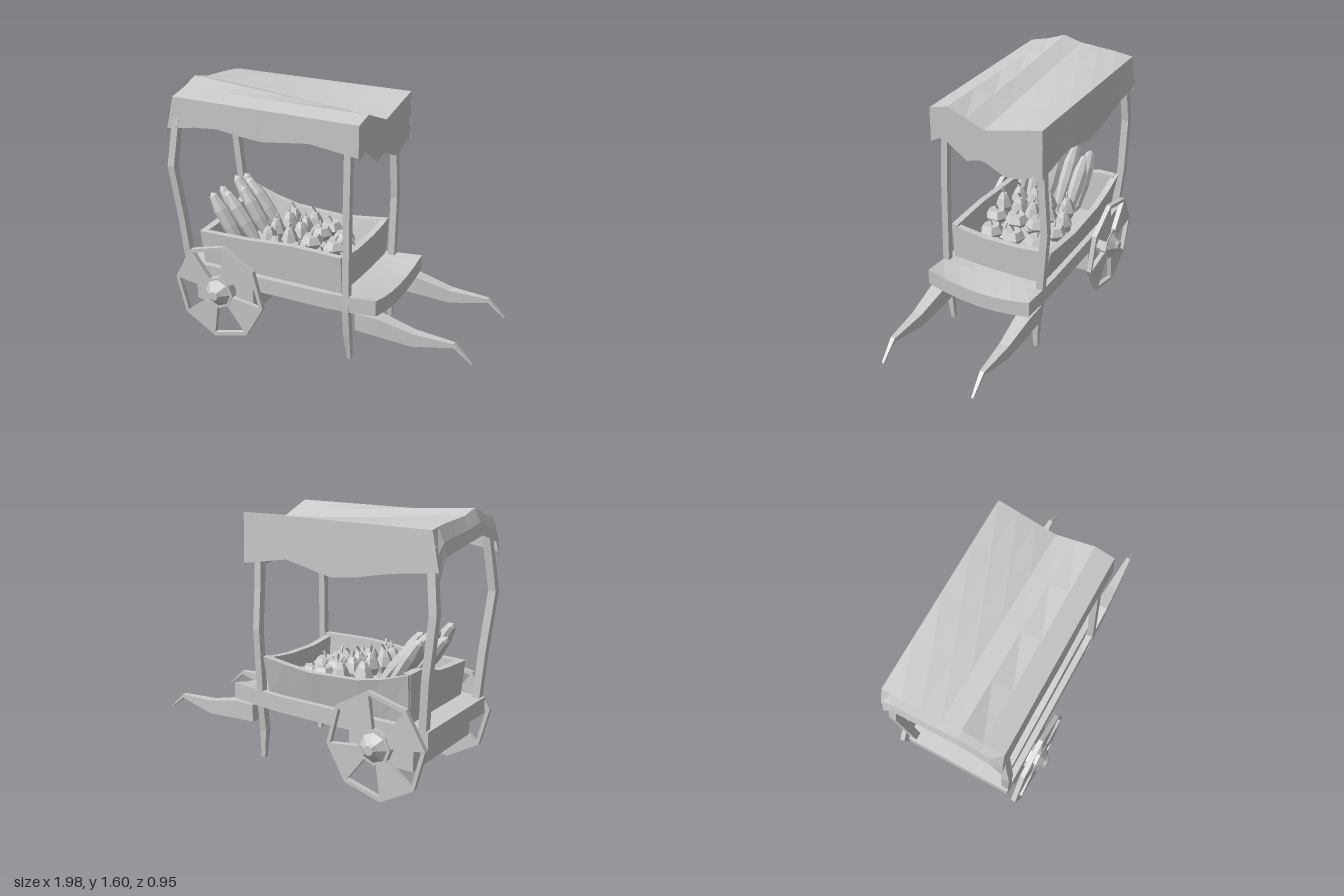
import * as THREE from 'three';

const mat = new THREE.MeshStandardMaterial({ color: 0xcccccc, flatShading: true });
const thin = new THREE.MeshStandardMaterial({ color: 0xcccccc, flatShading: true, side: THREE.DoubleSide });

const mix = (a, b, t) => a + (b - a) * t;

// Piecewise linear lookup in a short table of [position, value] pairs
function at(table, t) {
  let i = 0;
  while (i < table.length - 2 && t > table[i + 1][0]) i++;
  const [a, va] = table[i], [b, vb] = table[i + 1];
  return mix(va, vb, Math.min(1, Math.max(0, (t - a) / (b - a))));
}

// Move every vertex of a geometry by a rule
function warp(geo, rule) {
  const p = geo.attributes.position;
  for (let i = 0; i < p.count; i++) p.setXYZ(i, ...rule(p.getX(i), p.getY(i), p.getZ(i)));
  geo.computeVertexNormals();
  return geo;
}
// Unit block (0..1 on each axis) and unit sheet, bent by a rule
const block = (sx, sy, sz, rule) =>
  warp(new THREE.BoxGeometry(1, 1, 1, sx, sy, sz), (x, y, z) => rule(x + 0.5, y + 0.5, z + 0.5));
const sheet = (sx, sy, rule) =>
  warp(new THREE.PlaneGeometry(1, 1, sx, sy), (x, y) => rule(x + 0.5, y + 0.5));

function add(parent, name, geo, material = mat) {
  const m = new THREE.Mesh(geo, material);
  m.name = name;
  parent.add(m);
  return m;
}

// Crooked post through a few [x, y, z] points
function post(pts, w) {
  const n = pts.length - 1;
  return block(1, n, 1, (u, v, s) => {
    const i = Math.round(v * n), [x, y, z] = pts[i];
    const k = y < 0.1 ? 0.6 : 1;
    return [x + (u - 0.5) * w * k, y, z + (s - 0.5) * w * k];
  });
}

// Octagonal wheel with alternating solid and open sectors
function wheelGeometry() {
  const pt = (r, k) => {
    const a = (-8 + 45 * k) * Math.PI / 180;
    return new THREE.Vector2(r * Math.cos(a), r * Math.sin(a));
  };
  const shape = new THREE.Shape([...Array(8).keys()].map(k => pt(0.322, k)));
  for (let k = 0; k < 8; k += 2) {
    shape.holes.push(new THREE.Path([pt(0.1, k), pt(0.1, k + 1), pt(0.297, k + 1), pt(0.297, k)]));
  }
  return new THREE.ExtrudeGeometry(shape, { depth: 0.03, bevelEnabled: false });
}

// Ribbed fruit: an upright lathe with every other side pushed in
function fruit(profile, sides, rib) {
  const geo = new THREE.LatheGeometry(profile.map(p => new THREE.Vector2(...p)), sides);
  return warp(geo, (x, y, z) => {
    const k = Math.round(Math.atan2(x, z) / (2 * Math.PI) * sides);
    const f = k % 2 ? rib : 1;
    return [x * f, y, z * f];
  });
}

export function createModel() {
  const cart = new THREE.Group();
  cart.name = 'marketCart';

  // Bed, dished and lifted at the handle end
  add(cart, 'bed', block(8, 1, 6, (u, v, s) => {
    const x = mix(-0.93, 0.42, u), z = mix(-0.35, 0.35, s);
    const t = Math.max(0, (x - 0.15) / 0.27);
    return [x, mix(0.355, 0.455, v) + t * (-0.025 + 0.05 * (z / 0.35) ** 2), z];
  }));
  add(cart, 'axleBox', block(1, 1, 1, (u, v, s) =>
    [mix(-0.84, -0.42, u), mix(0.2, 0.36, v), mix(-0.345, 0.345, s)]));

  // Bin walls with uneven rims, leaning slightly outward
  const bin = new THREE.Group();
  bin.name = 'bin';
  cart.add(bin);
  const frontRim = [[-0.8, 0.67], [-0.5, 0.675], [-0.13, 0.7], [0.18, 0.69]];
  const backRim = [[-0.8, 0.755], [-0.55, 0.67], [-0.13, 0.65], [0.18, 0.69]];
  const rightRim = [[-0.37, 0.69], [-0.15, 0.66], [0.1, 0.655], [0.32, 0.68]];
  const leftRim = [[-0.35, 0.755], [-0.2, 0.755], [0, 0.69], [0.32, 0.67]];
  for (const [name, sign, rim, flare] of [['binFront', 1, frontRim, 0.325], ['binBack', -1, backRim, 0.365]]) {
    add(bin, name, block(6, 1, 1, (u, v, s) => {
      const x = mix(-0.79 - 0.015 * v, 0.18, u), outer = mix(0.31, flare, v);
      const inset = sign > 0 ? 1 - s : s;
      return [x, mix(0.44, at(rim, x), v), sign * (outer - 0.04 * inset)];
    }));
  }
  for (const [name, x0, x1, rim] of [['binRight', 0.14, 0.18, rightRim], ['binLeft', -0.79, -0.745, leftRim]]) {
    add(bin, name, block(1, 1, 6, (u, v, s) => {
      const z = mix(mix(-0.3, -0.345, v), mix(0.3, 0.315, v), s);
      return [mix(x0, x1, u) - (x0 < 0 ? 0.02 * v : 0), mix(0.44, at(rim, z), v), z];
    }));
  }

  // Handles: tapered arms with a drooping grip
  const armX = [0.28, 0.42, 0.64, 0.89, 1];
  const armTop = [0.36, 0.36, 0.31, 0.3, 0.195];
  const armBottom = [0.25, 0.245, 0.225, 0.275, 0.187];
  for (const [name, zBase, zTip] of [['leftHandle', 0.295, 0.295], ['rightHandle', -0.308, -0.31]]) {
    add(cart, name, block(4, 1, 1, (u, v, s) => {
      const i = Math.round(u * 4), t = Math.max(0, (armX[i] - 0.42) / 0.58);
      return [armX[i], mix(armBottom[i], armTop[i], v), mix(zBase, zTip, t) + (s - 0.5) * mix(0.09, 0.014, t)];
    }));
  }

  // Four roof posts; the handle-end pair continue down as legs
  add(cart, 'frontRightPost', post([[0.23, 0.02, 0.3], [0.225, 0.2, 0.32], [0.225, 0.36, 0.335],
    [0.225, 0.7, 0.33], [0.225, 1.0, 0.325], [0.225, 1.36, 0.31]], 0.042));
  add(cart, 'backRightPost', post([[0.23, 0.02, -0.305], [0.225, 0.2, -0.3], [0.225, 0.36, -0.32],
    [0.225, 0.85, -0.35], [0.225, 1.1, -0.33], [0.225, 1.4, -0.315]], 0.045));
  add(cart, 'frontLeftPost', post([[-0.89, 0.43, 0.325], [-0.91, 0.75, 0.345], [-0.94, 1.1, 0.375], [-0.9, 1.45, 0.335]], 0.047));
  add(cart, 'backLeftPost', post([[-0.89, 0.43, -0.325], [-0.91, 0.75, -0.345], [-0.94, 1.1, -0.34], [-0.9, 1.45, -0.315]], 0.047));

  // Wheels and pointed hubs
  const hubProfile = [[0, 0.25], [0.065, 0.25], [0.09, 0.36], [0.09, 0.42], [0.045, 0.455], [0.03, 0.475], [0, 0.475]]
    .map(p => new THREE.Vector2(...p));
  for (const sign of [1, -1]) {
    const side = new THREE.Group();
    side.name = sign > 0 ? 'frontWheel' : 'backWheel';
    side.position.set(-0.63, 0.32, 0);
    cart.add(side);
    add(side, 'wheel', wheelGeometry()).position.z = sign > 0 ? 0.385 : -0.415;
    const collar = add(side, 'hubCollar', new THREE.CylinderGeometry(0.106, 0.106, 0.042, 8));
    collar.rotation.x = Math.PI / 2;
    collar.position.z = sign * 0.4;
    add(side, 'hub', new THREE.LatheGeometry(hubProfile, 8)).rotation.x = sign * Math.PI / 2;
  }

  // Canopy cloth: blended from the two end profiles
  const leftEnd = [[-0.36, 1.545], [-0.24, 1.56], [0, 1.575], [0.12, 1.605], [0.24, 1.56], [0.36, 1.53]];
  const rightEnd = [[-0.36, 1.54], [-0.24, 1.515], [0, 1.46], [0.12, 1.505], [0.24, 1.55], [0.36, 1.52]];
  const roofY = (x, z) => mix(at(leftEnd, z), at(rightEnd, z), (x + 0.92) / 1.23);
  const canopy = new THREE.Group();
  canopy.name = 'canopy';
  cart.add(canopy);
  add(canopy, 'canopyTop', sheet(4, 6, (u, v) => {
    const x = mix(-0.92, 0.31, u), z = mix(0.36, -0.36, v);
    return [x, roofY(x, z), z];
  }), thin);

  // Hanging edges with wavy hems
  const frontHem = [[-0.92, 1.33], [-0.67, 1.38], [-0.34, 1.335], [0, 1.375], [0.31, 1.335]];
  const backHem = [[-0.92, 1.33], [-0.66, 1.29], [-0.34, 1.22], [0, 1.295], [0.31, 1.24]];
  for (const [name, sign, hem] of [['frontValance', 1, frontHem], ['backValance', -1, backHem]]) {
    add(canopy, name, sheet(8, 2, (u, v) => {
      const x = mix(-0.92, 0.31, u), z = 0.36 * sign;
      return [x - (u === 0 ? 0.05 * (1 - v) : 0), mix(at(hem, x), roofY(x, z), v), z + sign * 0.006 * (1 - v)];
    }), thin);
  }
  const rightHem = [[-0.36, 1.22], [-0.32, 1.25], [-0.22, 1.21], [-0.13, 1.2], [0.02, 1.27], [0.12, 1.24], [0.28, 1.35], [0.36, 1.31]];
  add(canopy, 'rightValance', sheet(18, 1, (u, v) => {
    const z = mix(0.36, -0.36, u);
    return [0.31, mix(at(rightHem, z), roofY(0.31, z), v), z];
  }), thin);
  const leftHem = [[-0.36, 1.29], [-0.3, 1.4], [-0.1, 1.43], [0.12, 1.46], [0.3, 1.4], [0.36, 1.29]];
  add(canopy, 'leftValance', sheet(12, 2, (u, v) => {
    const z = mix(-0.36, 0.36, u), drop = 1 - v;
    return [-0.92 - 0.055 * Math.sqrt(drop), mix(at(leftHem, z), roofY(-0.92, z), v), z];
  }), thin);

  // Long squashes leaning against the left wall: [x, z, length]
  const produce = new THREE.Group();
  produce.name = 'produce';
  cart.add(produce);
  const squash = fruit([[0, 0], [0.032, 0.05], [0.05, 0.2], [0.05, 0.32], [0.03, 0.42], [0, 0.445]], 8, 0.9);
  const squashes = [[-0.53, 0.24, 1], [-0.47, 0.14, 0.99], [-0.55, 0.05, 0.99], [-0.46, 0.02, 0.95],
    [-0.51, -0.06, 1.07], [-0.47, -0.15, 1], [-0.55, -0.17, 0.98]];
  squashes.forEach(([x, z, len], i) => {
    const m = add(produce, 'longSquash', squash, thin);
    m.position.set(x, 0.53, z);
    m.scale.y = len;
    m.rotation.z = 0.55 + 0.06 * (i % 3);
  });

  // Gourds and pumpkins, each with a bent stem: [x, y, z, size]
  const gourd = fruit([[0, 0], [0.045, 0.015], [0.06, 0.06], [0.038, 0.115], [0.02, 0.145], [0, 0.15]], 12, 0.87);
  const pumpkin = fruit([[0, 0], [0.05, 0.01], [0.078, 0.05], [0.05, 0.095], [0, 0.09]], 12, 0.87);
  const stem = new THREE.TubeGeometry(new THREE.CatmullRomCurve3([[0, 0, 0], [0.003, 0.02, 0], [0.018, 0.04, 0.004]]
    .map(p => new THREE.Vector3(...p))), 3, 0.007, 5);
  const heap = (name, geo, top, list) => list.forEach(([x, y, z, s = 1], i) => {
    const g = new THREE.Group();
    g.name = name;
    g.position.set(x, y, z);
    g.rotation.y = i * 1.3;
    g.scale.setScalar(s);
    add(g, name + 'Body', geo, thin);
    add(g, name + 'Stem', stem, thin).position.y = top;
    produce.add(g);
  });
  heap('gourd', gourd, 0.145, [[-0.4, 0.57, 0.16], [-0.41, 0.58, 0.05], [-0.38, 0.59, -0.06], [-0.41, 0.57, -0.18],
    [-0.31, 0.55, 0.23], [-0.29, 0.56, 0.1], [-0.27, 0.56, -0.01], [-0.29, 0.56, -0.11], [-0.28, 0.55, -0.22]]);
  heap('pumpkin', pumpkin, 0.09, [[-0.17, 0.56, 0.2], [-0.16, 0.57, 0.05], [-0.17, 0.57, -0.09], [-0.16, 0.56, -0.22],
    [-0.03, 0.53, 0.16], [-0.02, 0.54, 0], [-0.04, 0.53, -0.16], [0.07, 0.47, 0.08], [0.07, 0.47, -0.1],
    [-0.3, 0.46, 0.2], [-0.3, 0.46, 0], [-0.3, 0.46, -0.2], [-0.14, 0.46, 0.12], [-0.14, 0.46, -0.1]]);

  return cart;
}
